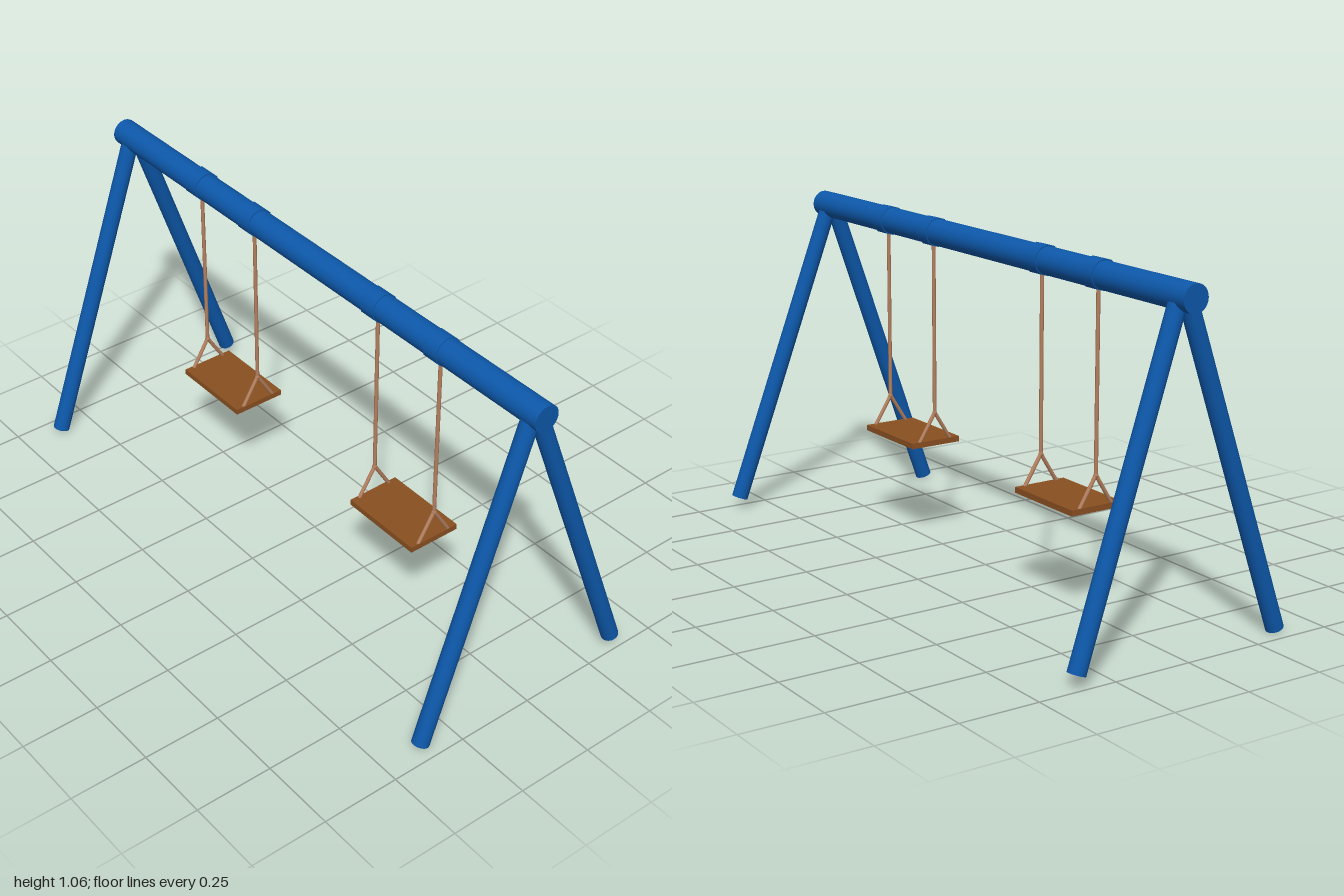
import * as THREE from 'three';

const mat = (name, color) => {
  const m = new THREE.MeshStandardMaterial({ color });
  m.name = name;
  return m;
};

export function createModel() {
  const model = new THREE.Group();
  model.name = 'swingSet';
  const blue = mat('bluePaint', 0x0d58aa);
  const wood = mat('brownWood', 0x8a5021);
  const rope = mat('tanRope', 0xb5805f);

  // Round bar running between two points
  const bar = (name, from, to, radius, sides, material, parent = model) => {
    const a = new THREE.Vector3(...from), b = new THREE.Vector3(...to);
    const dir = b.clone().sub(a);
    const mesh = new THREE.Mesh(new THREE.CylinderGeometry(radius, radius, dir.length(), sides), material);
    mesh.position.copy(a).add(b).multiplyScalar(0.5);
    mesh.quaternion.setFromUnitVectors(new THREE.Vector3(0, 1, 0), dir.normalize());
    mesh.name = name;
    parent.add(mesh);
    return mesh;
  };

  // Top beam
  const beamY = 1.018;
  bar('topBeam', [-0.993, beamY - 0.002, 0], [0.985, beamY + 0.001, 0], 0.042, 24, blue);

  // A-frame legs: the front pair is upright, the back pair splays outward
  for (const side of [-1, 1]) {
    bar('frontLeg', [side * 0.943, 0.012, 0.361], [side * 0.941, 0.995, 0.018], 0.027, 20, blue);
    bar('backLeg', [side * 0.971, 0.04, -0.36], [side * 0.937, 0.995, -0.018], 0.027, 20, blue);
  }

  // Swings
  for (const [name, cx] of [['rightSwing', -0.431], ['leftSwing', 0.428]]) {
    const swing = new THREE.Group();
    swing.name = name;
    swing.position.x = cx;
    model.add(swing);

    const seat = new THREE.Mesh(new THREE.BoxGeometry(0.284, 0.018, 0.176), wood);
    seat.name = 'seat';
    seat.position.y = 0.334;
    swing.add(seat);

    for (const side of [-1, 1]) {
      const x = side * 0.136;
      // Collar around the beam
      bar('beamCollar', [x - 0.028, beamY, 0], [x + 0.028, beamY, 0], 0.046, 12, blue, swing);
      // Hanging rope, knot and the two strands down to the seat
      bar('rope', [x, 0.432, 0], [x, 0.985, 0], 0.006, 10, rope, swing);
      const knot = new THREE.Mesh(new THREE.SphereGeometry(0.008, 10, 8), rope);
      knot.name = 'ropeKnot';
      knot.position.set(x, 0.432, 0);
      swing.add(knot);
      for (const z of [-0.06, 0.06]) {
        bar('seatStrand', [x, 0.336, z], [x, 0.433, 0], 0.006, 10, rope, swing);
      }
    }
  }
  return model;
}
